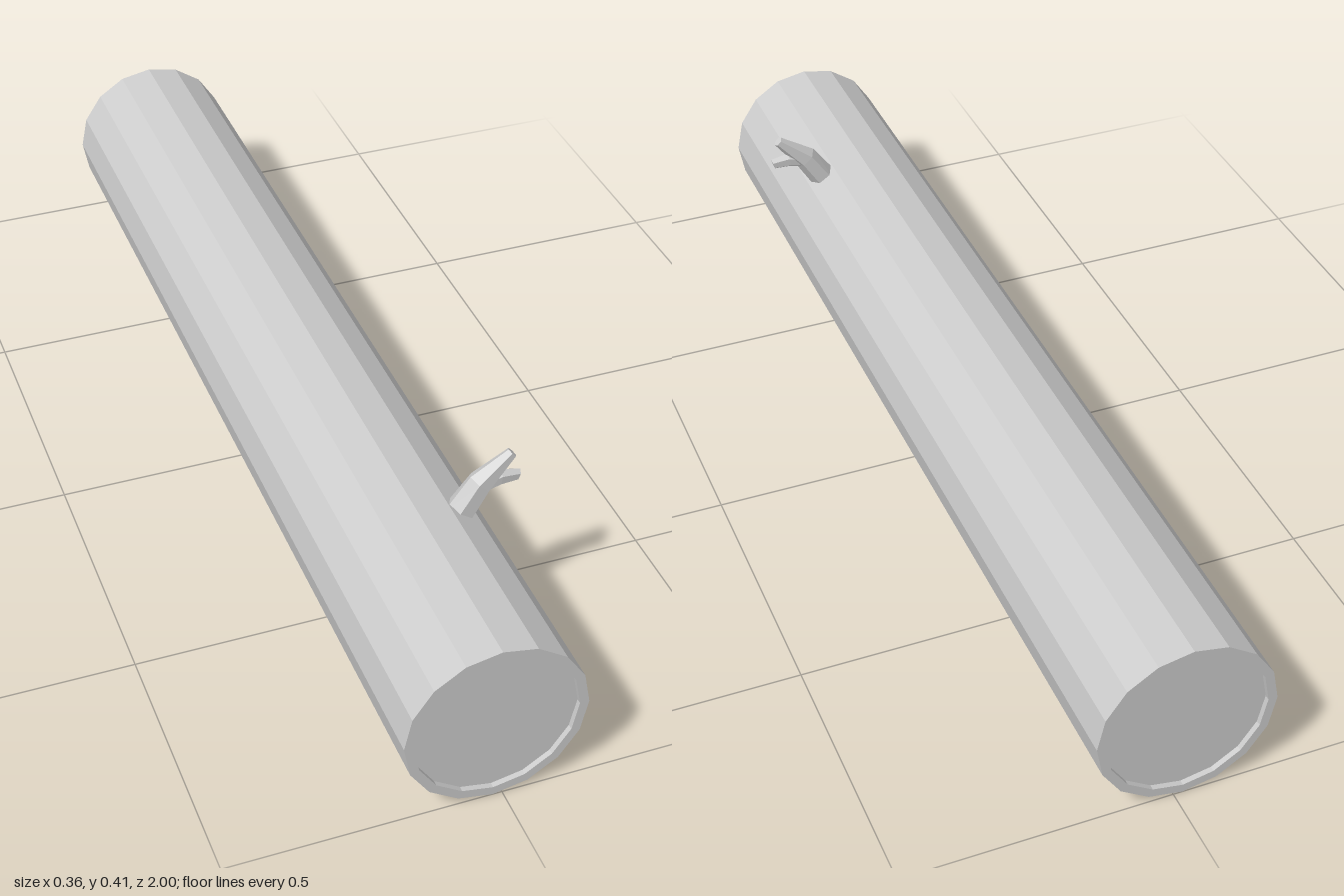
import * as THREE from 'three';

const SIDES = 6;

// Lofts hexagonal sections [x, y, axisAngleDegrees, radius, zRadius] and caps the far end
function loft(sections) {
  const pos = [], index = [];
  for (const [x, y, deg, r, rz] of sections) {
    const a = THREE.MathUtils.degToRad(deg);
    for (let i = 0; i < SIDES; i++) {
      const t = (i / SIDES) * Math.PI * 2, u = Math.cos(t) * r;
      pos.push(x - Math.sin(a) * u, y + Math.cos(a) * u, Math.sin(t) * rz);
    }
  }
  for (let s = 0; s < sections.length - 1; s++) {
    for (let i = 0; i < SIDES; i++) {
      const a = s * SIDES + i, b = s * SIDES + (i + 1) % SIDES;
      index.push(a, b, b + SIDES, a, b + SIDES, a + SIDES);
    }
  }
  const last = (sections.length - 1) * SIDES;
  for (let i = 1; i < SIDES - 1; i++) index.push(last, last + i, last + i + 1);
  const geometry = new THREE.BufferGeometry();
  geometry.setAttribute('position', new THREE.Float32BufferAttribute(pos, 3));
  geometry.setIndex(index);
  geometry.computeVertexNormals();
  return geometry;
}

export function createModel() {
  const group = new THREE.Group();
  const material = new THREE.MeshStandardMaterial({ color: 0xcccccc, flatShading: true });
  const add = (name, geometry, parent = group) => {
    const mesh = new THREE.Mesh(geometry, material);
    mesh.name = name;
    parent.add(mesh);
    return mesh;
  };

  // Log: 16-sided trunk with a bark rim around slightly recessed cut ends
  const R = 0.166, inner = 0.149, recess = 0.01;
  const profile = [
    [0, -1 + recess], [inner, -1 + recess], [inner, -1], [R, -1],
    [R, 1], [inner, 1], [inner, 1 - recess], [0, 1 - recess],
  ].map(([x, y]) => new THREE.Vector2(x, y));
  const log = add('log', new THREE.LatheGeometry(profile, 16).rotateX(Math.PI / 2));
  log.position.set(-0.017, 0.168, 0);

  // Forked twig growing from the upper left of the log
  const twig = new THREE.Group();
  twig.name = 'twig';
  twig.position.z = 0.62;
  group.add(twig);
  add('twigStem', loft([
    [0.06, 0.287, 54, 0.028, 0.029],
    [0.105, 0.354, 48, 0.025, 0.022],
    [0.163, 0.406, 43, 0.0105, 0.010],
  ]), twig);
  add('twigFork', loft([
    [0.112, 0.349, 10, 0.016, 0.014],
    [0.142, 0.356, -8, 0.016, 0.013],
    [0.177, 0.353, -19, 0.012, 0.009],
  ]), twig);

  return group;
}
